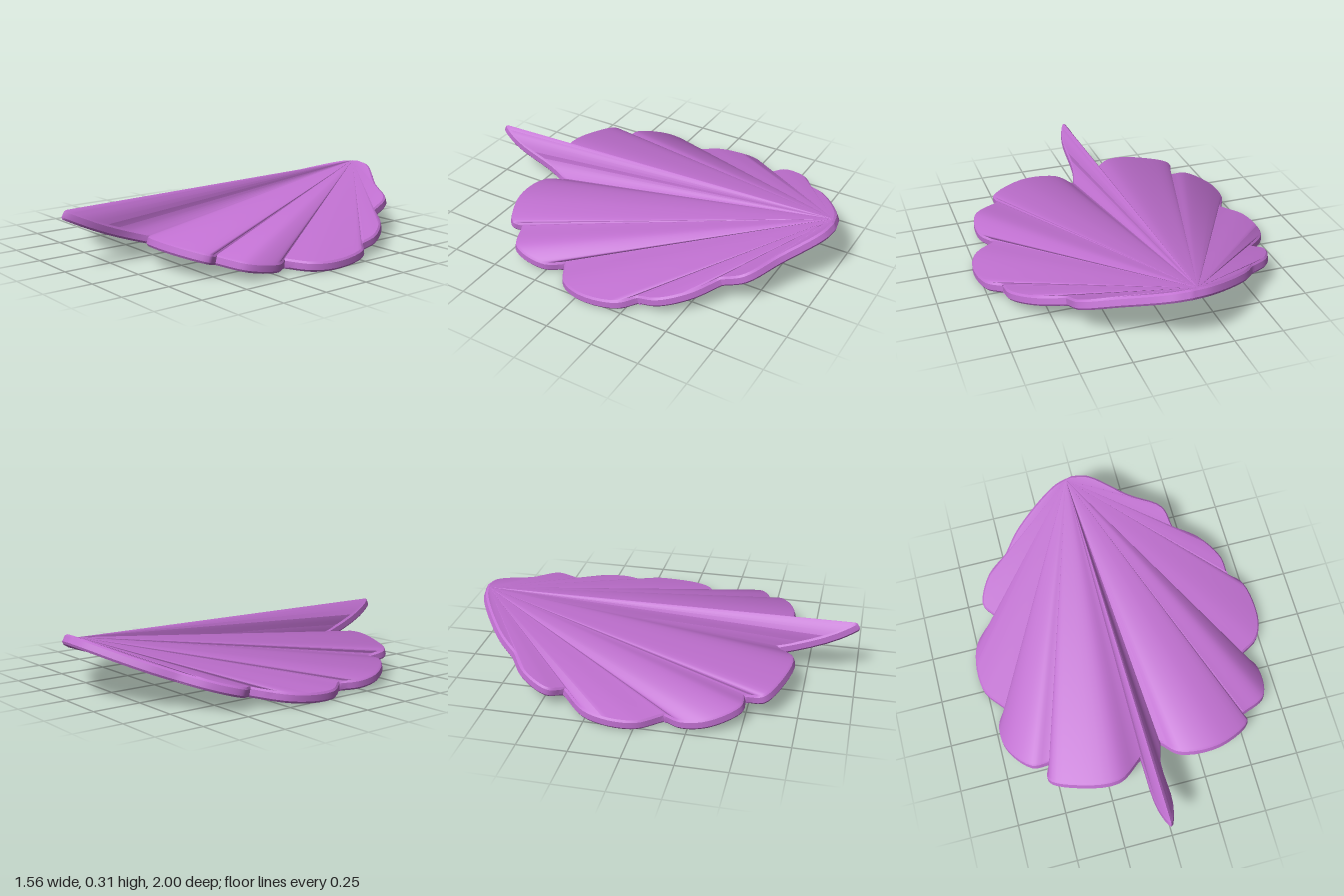
import * as THREE from 'three';
import { toCreasedNormals } from 'three/addons/utils/BufferGeometryUtils.js';

const THICK = 0.05;
const APEX = [-0.065, -0.965];

// Rim scallops, clockwise from the back tip: a notch, then the points of its bulge. [x, z]
const LOBES = [
  [[-0.03, -0.978], [0.06, -0.96], [0.25, -0.83], [0.42, -0.73]],
  [[0.45, -0.62], [0.58, -0.53], [0.67, -0.4]],
  [[0.68, -0.3], [0.75, -0.23], [0.775, -0.03], [0.73, 0.09]],
  [[0.62, 0.16], [0.68, 0.25], [0.66, 0.42]],
  [[0.52, 0.49], [0.53, 0.54], [0.35, 0.63], [0.14, 0.615]],
  [[0.06, 0.535], [0.03, 0.65], [0.025, 0.88], [-0.015, 0.98], [-0.055, 0.88]], // stem
  [[-0.063, 0.59], [-0.2, 0.685], [-0.42, 0.65], [-0.545, 0.58]],
  [[-0.52, 0.49], [-0.61, 0.485], [-0.72, 0.35], [-0.73, 0.22]],
  [[-0.68, 0.13], [-0.77, 0], [-0.755, -0.23]],
  [[-0.62, -0.38], [-0.665, -0.45], [-0.6, -0.59]],
  [[-0.48, -0.68], [-0.38, -0.79], [-0.14, -0.95]],
];

// Curved folds running inward under the blade, from the notch of a lobe
const FOLDS = [
  { lobe: 2, inner: [[0.42, -0.33], [0.14, -0.25]] },
  { lobe: 3, inner: [[0.5, 0.2], [0.36, 0.2]] },
  { lobe: 4, inner: [[0.45, 0.47], [0.37, 0.42]] },
  { lobe: 7, inner: [[-0.42, 0.5], [-0.29, 0.46]] },
  { lobe: 8, inner: [[-0.42, 0.22], [-0.15, 0.16]] },
  { lobe: 9, inner: [[-0.48, -0.37], [-0.35, -0.3]] },
];

const spline = (pts, n) => new THREE.CatmullRomCurve3(
  pts.map(([x, z]) => new THREE.Vector3(x, 0, z)), false, 'centripetal').getPoints(n).map(p => [p.x, p.z]);

// Bends a flat point onto the bowl, at a depth measured along the bowl's normal
function bend([x, z], depth) {
  const slope = 0.54 * (z - 0.02);
  const len = Math.hypot(1, slope);
  return [x, 0.06 + 0.27 * (z - 0.02) ** 2 - depth / len, z + depth * slope / len];
}

// Top and bottom fans from the apex, joined by a rounded wall along the path
function fanPlate(path, closed) {
  const n = path.length;
  const at = i => path[closed ? (i + n) % n : Math.min(Math.max(i, 0), n - 1)];
  const profile = [[0, 0.008], [0.01, 0], [0.04, 0], [THICK, 0.008]];
  const rings = profile.map(([depth, inset]) => path.map((p, i) => {
    const a = at(i - 1), b = at(i + 1);
    const dx = b[0] - a[0], dz = b[1] - a[1], len = Math.hypot(dx, dz) || 1;
    return bend([p[0] - dz / len * inset, p[1] + dx / len * inset], depth);
  }));
  const top = bend(APEX, 0), bottom = bend(APEX, THICK);
  const pos = [];
  const tri = (...corners) => corners.forEach(c => pos.push(...c));
  for (let i = 0; i < (closed ? n : n - 1); i++) {
    const j = (i + 1) % n;
    tri(top, rings[0][j], rings[0][i]);
    tri(bottom, rings[3][i], rings[3][j]);
    for (let k = 0; k < 3; k++) {
      tri(rings[k][i], rings[k][j], rings[k + 1][j]);
      tri(rings[k][i], rings[k + 1][j], rings[k + 1][i]);
    }
  }
  const geo = new THREE.BufferGeometry();
  geo.setAttribute('position', new THREE.Float32BufferAttribute(pos, 3));
  return toCreasedNormals(geo, 0.6);
}

export function createModel() {
  const leaf = new THREE.Group();
  leaf.name = 'leaf';
  const material = new THREE.MeshStandardMaterial({ color: 0xc070d0, side: THREE.DoubleSide });
  const add = (name, geometry) => {
    const mesh = new THREE.Mesh(geometry, material);
    mesh.name = name;
    leaf.add(mesh);
  };

  // Leaf blade with its stem; each lobe ends at the notch of the next
  const outline = LOBES.flatMap((lobe, i) =>
    spline([...lobe, LOBES[(i + 1) % LOBES.length][0]], 20).slice(0, -1));
  add('bladeAndStem', fanPlate(outline, true));

  // Folds under the blade
  FOLDS.forEach(({ lobe, inner }, i) =>
    add(`underFold${i + 1}`, fanPlate(spline([LOBES[lobe][0], ...inner], 10), false)));
  return leaf;
}
